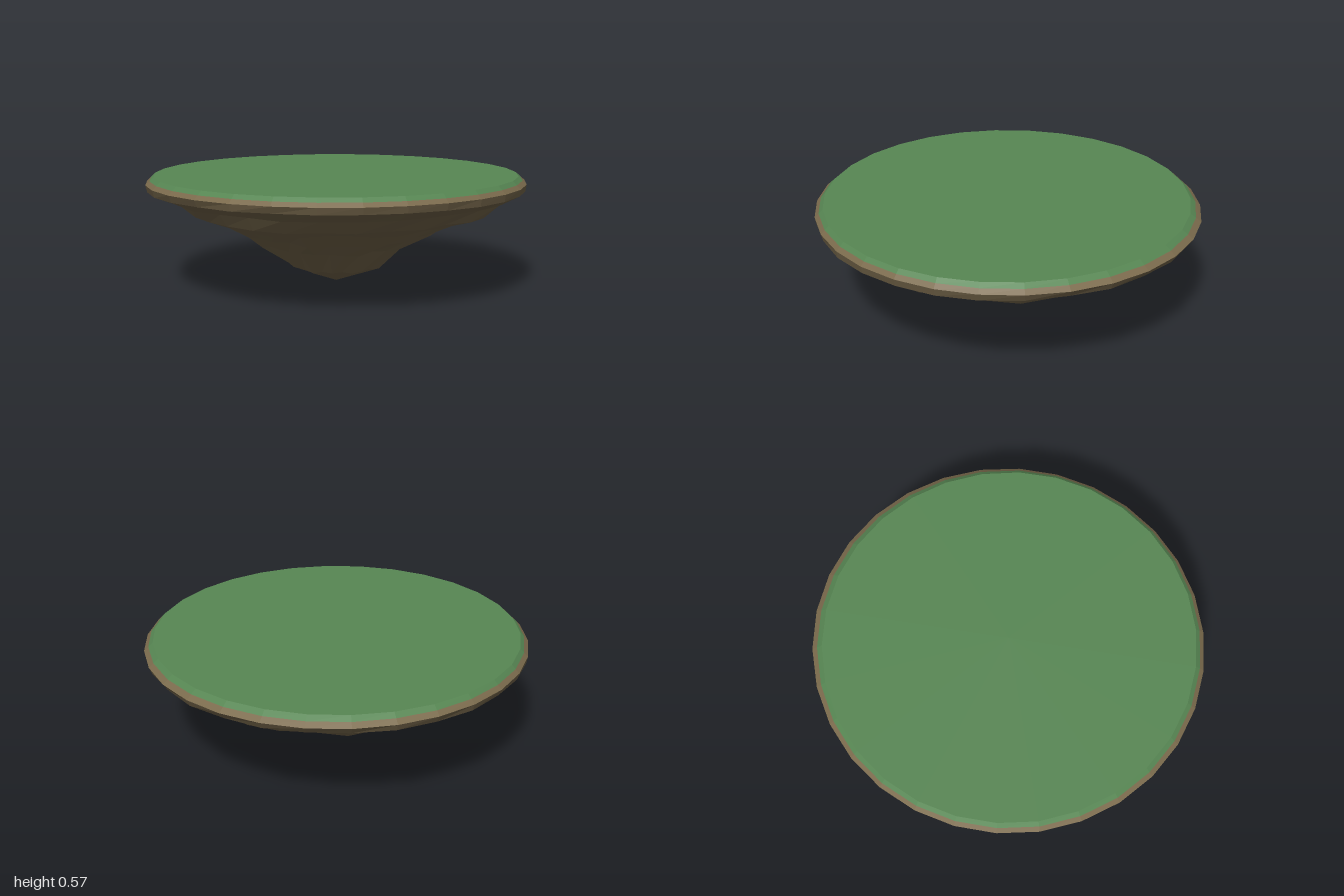
import * as THREE from 'three';

const SIDES = 30;

// Repeatable noise in -1..1
const noise = (i, j) => {
  const s = Math.sin(i * 127.1 + j * 311.7) * 43758.5453;
  return (s - Math.floor(s)) * 2 - 1;
};

// Ring of points; radii are given towards +z, +x, -z and -x and blended between
function ring(y, radii, rough = 0, seed = 0) {
  const points = [];
  for (let i = 0; i < SIDES; i++) {
    const a = (i / SIDES) * Math.PI * 2;
    const s = Math.sin(a), c = Math.cos(a);
    const r = (c > 0 ? radii[0] : radii[2]) * c * c + (s > 0 ? radii[1] : radii[3]) * s * s;
    const k = r * (1 + rough * noise(i, seed));
    points.push(new THREE.Vector3(s * k, y + rough * 0.25 * noise(i, seed + 50), c * k));
  }
  return points;
}

const midRing = (a, b, t) => a.map((p, i) => p.clone().lerp(b[i], t));
const point = (y) => Array.from({ length: SIDES }, () => new THREE.Vector3(0, y, 0));

// Skin a stack of rings, lowest first
function skin(name, rings, color) {
  const pos = [];
  const tri = (...pts) => pts.forEach((p) => pos.push(p.x, p.y, p.z));
  for (let k = 0; k < rings.length - 1; k++) {
    for (let i = 0; i < SIDES; i++) {
      const j = (i + 1) % SIDES;
      const lo = rings[k], up = rings[k + 1];
      if (lo[i].distanceTo(lo[j]) > 1e-6) tri(lo[i], lo[j], up[j]);
      if (up[i].distanceTo(up[j]) > 1e-6) tri(lo[i], up[j], up[i]);
    }
  }
  const geometry = new THREE.BufferGeometry();
  geometry.setAttribute('position', new THREE.Float32BufferAttribute(pos, 3));
  geometry.computeVertexNormals();
  const mesh = new THREE.Mesh(geometry, new THREE.MeshStandardMaterial({ color, flatShading: true }));
  mesh.name = name;
  return mesh;
}

export function createModel() {
  const island = new THREE.Group();
  island.name = 'floatingIsland';

  const top = ring(0.575, [0.95, 0.945, 0.94, 0.945]);
  const rim = ring(0.535, [0.995, 0.985, 1.0, 0.985]);
  const rimFoot = ring(0.5, [0.985, 0.975, 0.975, 0.975], 0.006, 1);
  const turfEdge = midRing(rim, top, 0.5);

  // Rough rock tapering to a point underneath
  const rock = [
    point(0),
    ring(0.09, [0.25, 0.24, 0.23, 0.21], 0.05, 2),
    ring(0.2, [0.37, 0.36, 0.33, 0.39], 0.045, 3),
    ring(0.265, [0.48, 0.49, 0.47, 0.49], 0.04, 4),
    ring(0.335, [0.61, 0.62, 0.64, 0.61], 0.04, 5),
    ring(0.385, [0.78, 0.78, 0.77, 0.73], 0.03, 6),
    ring(0.45, [0.85, 0.86, 0.86, 0.87], 0.02, 7),
    rimFoot,
    rim,
  ];
  island.add(skin('rockUnderside', rock, 0x64573f));

  // Bare earth edge below the turf
  island.add(skin('earthEdge', [rim, turfEdge], 0x7a6a4c));

  // Grass bevel and flat top
  island.add(skin('grassTop', [turfEdge, top, point(0.575)], 0x568552));
  return island;
}
